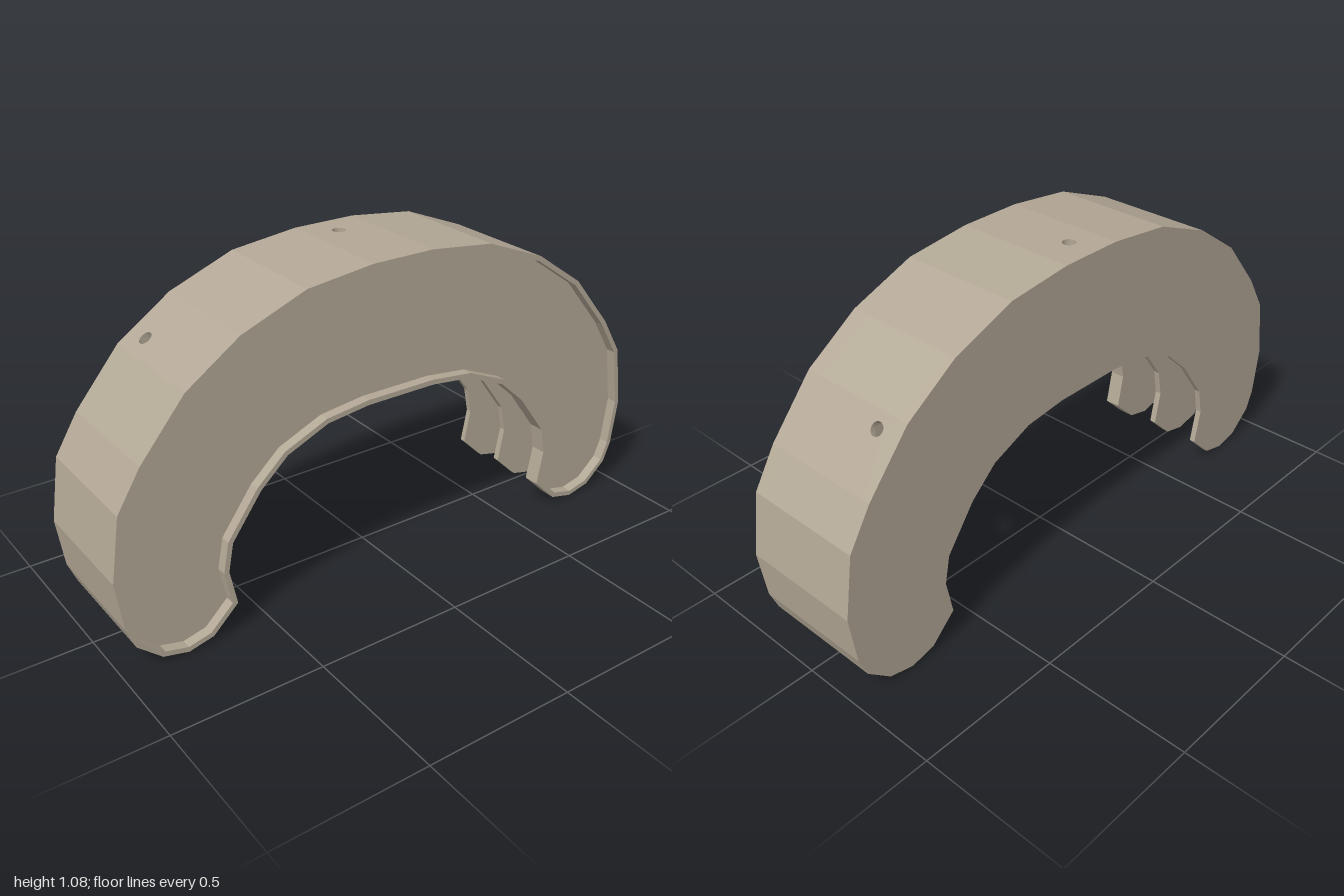
import * as THREE from 'three';

// Right half of the arch: inner edge downwards, round foot, outer edge upwards
const INNER = [[0.125, 0.63], [0.275, 0.612], [0.42, 0.55], [0.515, 0.463], [0.618, 0.32], [0.636, 0.225], [0.612, 0.105]];
const FOOT = [[0.7, 0.02], [0.785, 0], [0.87, 0.02]];
const OUTER = [[0.95, 0.09], [0.978, 0.16], [1, 0.325], [0.968, 0.535], [0.89, 0.663], [0.74, 0.843], [0.56, 0.967], [0.34, 1.053], [0.11, 1.08]];
const BACK = -0.207, FRONT = 0.21, SKIN = 0.02;

const vec = ([x, y]) => new THREE.Vector2(x, y);
const mirror = (pts) => [...pts.map(vec), ...pts.map(([x, y]) => vec([-x, y])).reverse()];

// Moves a counter-clockwise outline inwards by d with mitred corners
function inset(pts, d) {
  const n = pts.length;
  return pts.map((p, i) => {
    const a = p.clone().sub(pts[(i + n - 1) % n]).normalize();
    const b = pts[(i + 1) % n].clone().sub(p).normalize();
    const na = new THREE.Vector2(-a.y, a.x), nb = new THREE.Vector2(-b.y, b.x);
    return p.clone().addScaledVector(na.clone().add(nb), d / (1 + na.dot(nb)));
  });
}

export function createModel() {
  const group = new THREE.Group();
  const mat = new THREE.MeshStandardMaterial({ color: 0xb3a896 });
  mat.name = 'warm grey';
  const add = (name, geo, parent = group) => {
    const mesh = new THREE.Mesh(geo, mat);
    mesh.name = name;
    parent.add(mesh);
    return mesh;
  };
  const slab = (name, shape, z0, z1) => {
    const geo = new THREE.ExtrudeGeometry(shape, { depth: z1 - z0, bevelEnabled: false });
    add(name, geo.translate(0, 0, z0));
  };

  // Three arch plates, the front one with a raised rim
  const outline = mirror([...INNER, ...FOOT, ...OUTER]);
  slab('backPlate', new THREE.Shape(outline), BACK, BACK + 0.02);
  slab('middlePlate', new THREE.Shape(inset(outline, 0.003)), -0.022, 0);
  slab('frontPlate', new THREE.Shape(outline), 0.155, 0.175);
  const rim = new THREE.Shape(outline);
  rim.holes.push(new THREE.Path(inset(outline, 0.017)));
  slab('frontRim', rim, 0.175, FRONT);

  // Outer skin in flat panels, three of them drilled: panel -> [fraction along, z]
  const holes = { 4: [0.78, -0.118], 8: [0.555, -0.107], 11: [0.72, -0.12] };
  const skin = new THREE.Group();
  skin.name = 'outerSkin';
  group.add(skin);
  const arc = mirror(OUTER);
  const z0 = BACK + 0.02, z1 = 0.155;
  for (let i = 0; i < arc.length - 1; i++) {
    const p = arc[i], d = arc[i + 1].clone().sub(p), len = d.length();
    d.normalize();
    const panel = new THREE.Shape([vec([0, z0]), vec([len, z0]), vec([len, z1]), vec([0, z1])]);
    if (holes[i]) {
      const hole = new THREE.Path();
      hole.absarc(holes[i][0] * len, holes[i][1], 0.022, 0, Math.PI * 2, true);
      panel.holes.push(hole);
    }
    const geo = new THREE.ExtrudeGeometry(panel, { depth: SKIN, bevelEnabled: false, curveSegments: 10 });
    geo.translate(0, 0, -SKIN);
    const basis = new THREE.Matrix4().makeBasis(
      new THREE.Vector3(d.x, d.y, 0), new THREE.Vector3(0, 0, 1), new THREE.Vector3(d.y, -d.x, 0));
    geo.applyMatrix4(basis.setPosition(p.x, p.y, 0));
    add('skinPanel', geo, skin);
  }

  // Cross ribs between the plates
  const a = vec([0.275, 0.614]), b = vec([0.337, 1.04]);
  for (const s of [1, -1]) {
    const rib = add(s > 0 ? 'leftRib' : 'rightRib', new THREE.BoxGeometry(0.024, a.distanceTo(b), z1 - z0));
    rib.position.set(s * (a.x + b.x) / 2, (a.y + b.y) / 2, (z0 + z1) / 2);
    rib.rotation.z = -s * Math.atan2(b.x - a.x, b.y - a.y);
  }
  return group;
}
